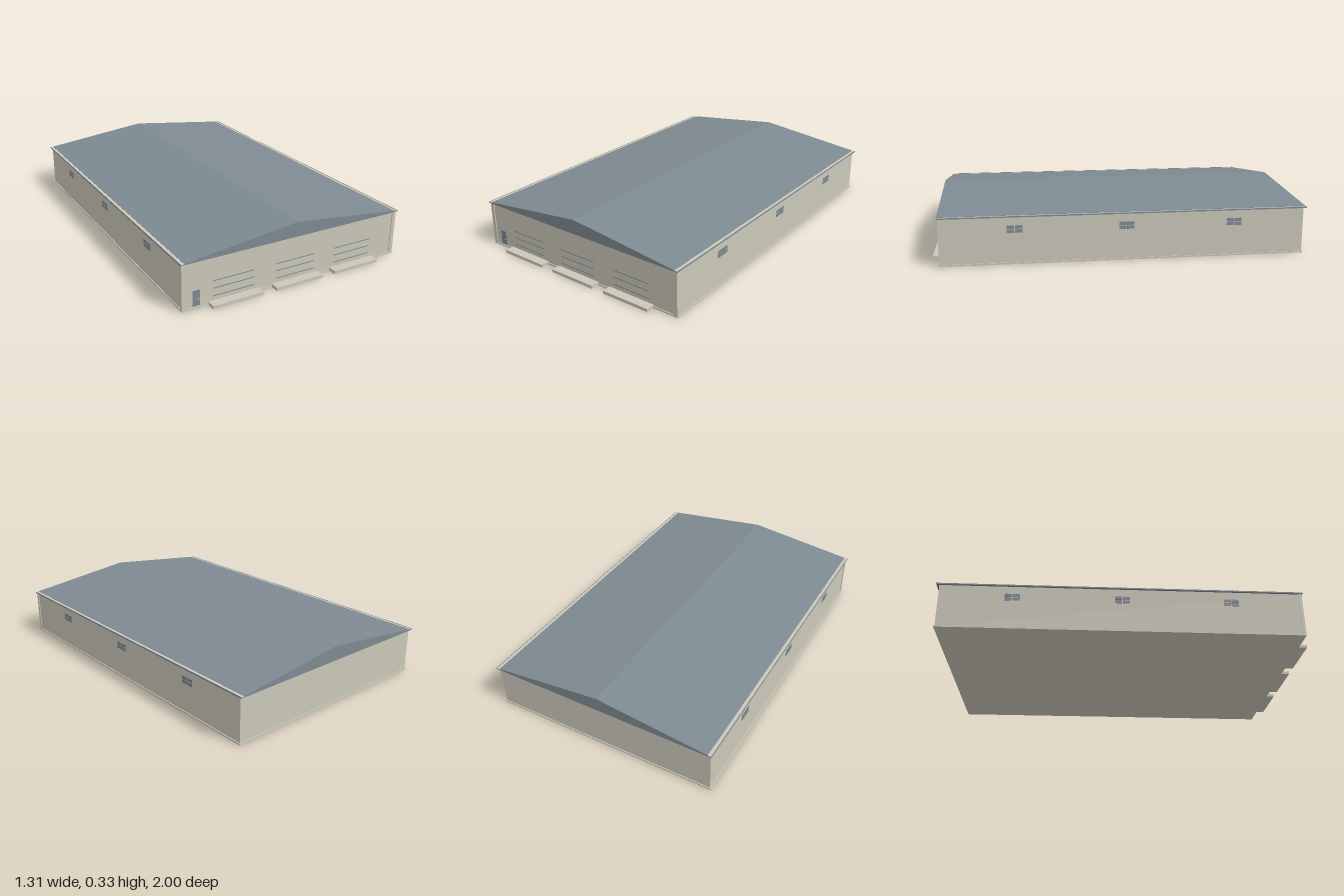
import * as THREE from 'three';

export function createModel() {
  const model = new THREE.Group();
  const mat = (name, color) => {
    const m = new THREE.MeshStandardMaterial({ color });
    m.name = name;
    return m;
  };
  const wall = mat('wall beige', 0xcbc7b9);
  const slate = mat('slate blue', 0x7e8a92);

  // Box given by its lower and upper corners
  const box = (name, material, [x0, y0, z0], [x1, y1, z1]) => {
    const geometry = new THREE.BoxGeometry(x1 - x0, y1 - y0, z1 - z0);
    const mesh = new THREE.Mesh(geometry, material);
    mesh.name = name;
    mesh.position.set((x0 + x1) / 2, (y0 + y1) / 2, (z0 + z1) / 2);
    model.add(mesh);
    return mesh;
  };

  // Hall and base trim
  box('hall', wall, [-0.645, 0, -0.985], [0.645, 0.251, 0.95]);
  box('baseTrim', wall, [-0.65, 0, -0.99], [0.65, 0.009, 0.955]);

  // Low gabled roof
  const gable = new THREE.Shape();
  gable.moveTo(-0.635, 0.254);
  gable.lineTo(0.635, 0.254);
  gable.lineTo(0.635, 0.257);
  gable.lineTo(0, 0.331);
  gable.lineTo(-0.635, 0.257);
  gable.closePath();
  const roof = new THREE.Mesh(new THREE.ExtrudeGeometry(gable, { depth: 1.96, bevelEnabled: false }), slate);
  roof.name = 'roof';
  roof.position.z = -1;
  model.add(roof);
  box('eavesPlate', slate, [-0.655, 0.25, -1], [0.655, 0.254, 0.96]);

  for (const s of [-1, 1]) {
    // Gutter floor and outer lip
    const strip = (name, material, a, b, y0, y1) =>
      box(name, material, [Math.min(s * a, s * b), y0, -1], [Math.max(s * a, s * b), y1, 0.96]);
    strip('gutter', wall, 0.635, 0.653, 0.254, 0.2555);
    strip('gutterLip', slate, 0.653, 0.656, 0.25, 0.257);

    // Front corner posts
    const x = s * 0.638;
    box('cornerPost', wall, [x - 0.011, 0, 0.938], [x + 0.011, 0.25, 0.955]);

    // Side windows with four panes each
    for (const z of [0.568, -0.016, -0.598]) {
      for (const dz of [-0.021, 0.021]) {
        for (const y of [0.176, 0.197]) {
          box('windowPane', slate,
            [s * 0.646 - 0.0015, y - 0.009, z + dz - 0.019],
            [s * 0.646 + 0.0015, y + 0.009, z + dz + 0.019]);
        }
      }
    }
  }

  // Loading bays: dock slab and door seams
  for (const x of [-0.362, 0, 0.361]) {
    box('loadingDock', wall, [x - 0.142, 0, 0.945], [x + 0.142, 0.017, 1]);
    for (const y of [0.041, 0.083, 0.123]) {
      box('bayDoorSeam', slate, [x - 0.116, y - 0.002, 0.949], [x + 0.116, y + 0.002, 0.952]);
    }
  }

  // Personnel door with handle
  box('door', slate, [-0.59, 0.013, 0.948], [-0.55, 0.096, 0.952]);
  box('doorHandle', wall, [-0.561, 0.044, 0.951], [-0.555, 0.049, 0.955]);

  return model;
}
